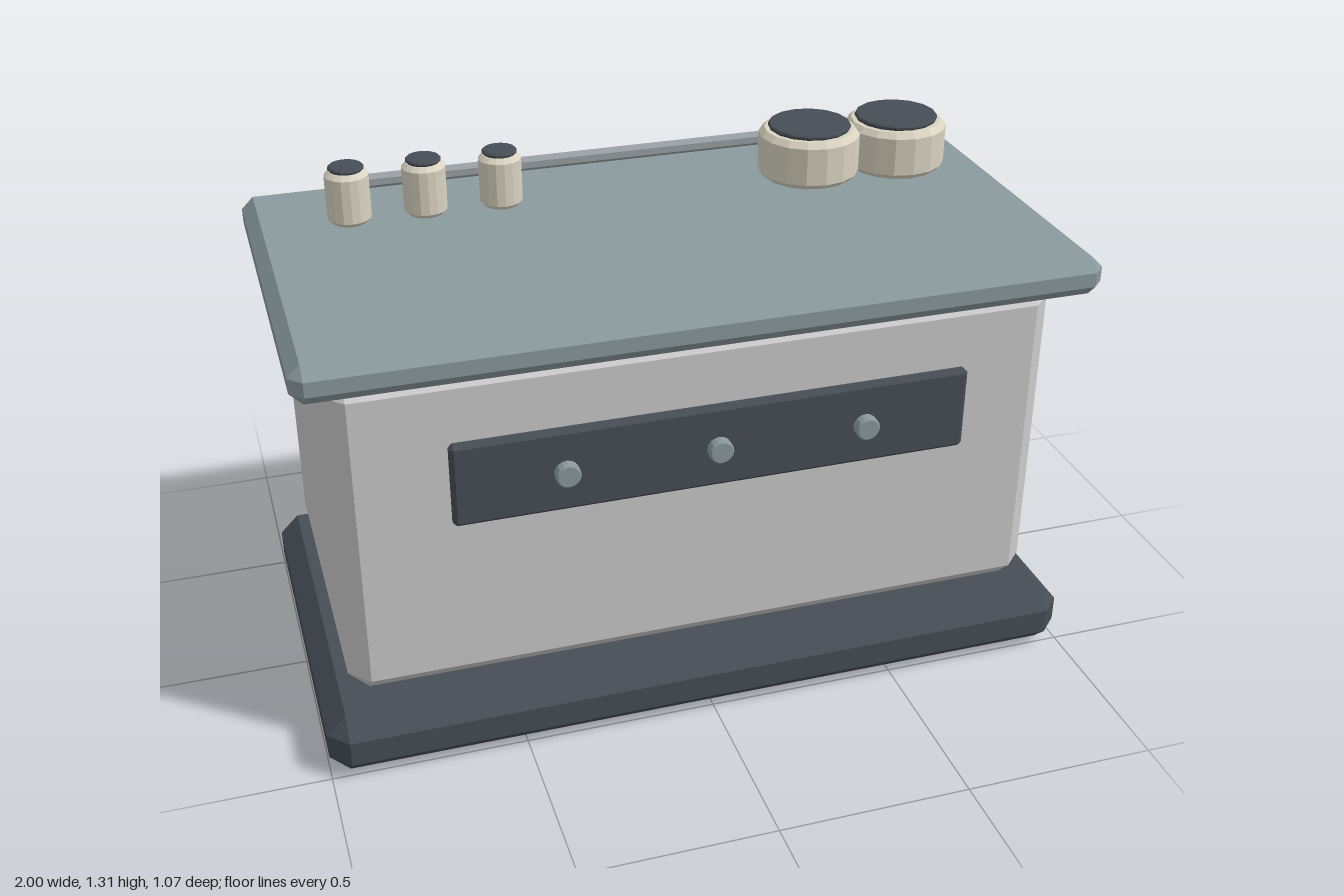
import * as THREE from 'three';
import { ConvexGeometry } from 'three/addons/geometries/ConvexGeometry.js';

const mat = (color) => new THREE.MeshStandardMaterial({ color, flatShading: true });

// Box with every edge cut at 45 degrees by c
function chamferBox(w, h, d, c) {
  const points = [];
  for (const sx of [-1, 1]) for (const sy of [-1, 1]) for (const sz of [-1, 1]) {
    const x = w / 2, y = h / 2, z = d / 2;
    points.push(
      new THREE.Vector3(sx * x, sy * (y - c), sz * (z - c)),
      new THREE.Vector3(sx * (x - c), sy * y, sz * (z - c)),
      new THREE.Vector3(sx * (x - c), sy * (y - c), sz * z));
  }
  return new ConvexGeometry(points);
}

// Closed cylinder standing on y = 0 with chamfered rims
function chamferCylinder(r, h, c, sides = 16) {
  const profile = [[0, 0], [r - c, 0], [r, c], [r, h - c], [r - c, h], [0, h]];
  return new THREE.LatheGeometry(profile.map(([x, y]) => new THREE.Vector2(x, y)), sides);
}

export function createModel() {
  const model = new THREE.Group();
  model.name = 'counterUnit';
  const grey = mat(0xcccccc), dark = mat(0x464e55), slate = mat(0x8b9a9d);
  const cream = mat(0xd9d3c1), steel = mat(0x9ba1a5);

  const add = (name, geometry, material, x, y, z, parent = model) => {
    const mesh = new THREE.Mesh(geometry, material);
    mesh.name = name;
    mesh.position.set(x, y, z);
    parent.add(mesh);
    return mesh;
  };

  // Plinth, cabinet and worktop
  add('plinth', chamferBox(2, 0.167, 1.056, 0.05), dark, 0, 0.0835, -0.003);
  add('cabinet', chamferBox(1.85, 0.893, 0.937, 0.052), grey, 0, 0.6135, -0.042);
  add('worktop', chamferBox(2, 0.1, 1.056, 0.031), slate, 0, 1.11, -0.003);

  // Control panel standing clear of the cabinet front, with three knobs
  add('controlPanel', chamferBox(1.31, 0.22, 0.032, 0.01), dark, 0, 0.79, 0.491);
  for (const x of [-0.38, 0, 0.38]) {
    const knob = add('knob', chamferCylinder(0.031, 0.03, 0.004), slate, x, 0.79, 0.506);
    knob.rotation.x = Math.PI / 2;
  }

  // Back rail
  add('rail', chamferBox(1.48, 0.036, 0.029, 0.009), steel, 0, 1.205, -0.41);

  // Lidded vessels along the back of the worktop
  const vessel = (name, x, z, r, h, lidR, lidH, c) => {
    const group = new THREE.Group();
    group.name = name;
    group.position.set(x, 1.16, z);
    model.add(group);
    add(name + 'Body', chamferCylinder(r, h, c), cream, 0, 0, 0, group);
    add(name + 'Lid', chamferCylinder(lidR, lidH, 0.004), dark, 0, h, 0, group);
  };
  for (const x of [-0.745, -0.547, -0.347]) vessel('canister', x, -0.266, 0.057, 0.14, 0.046, 0.012, 0.012);
  for (const x of [0.5, 0.753]) vessel('pot', x, -0.231, 0.137, 0.132, 0.112, 0.013, 0.015);

  return model;
}
